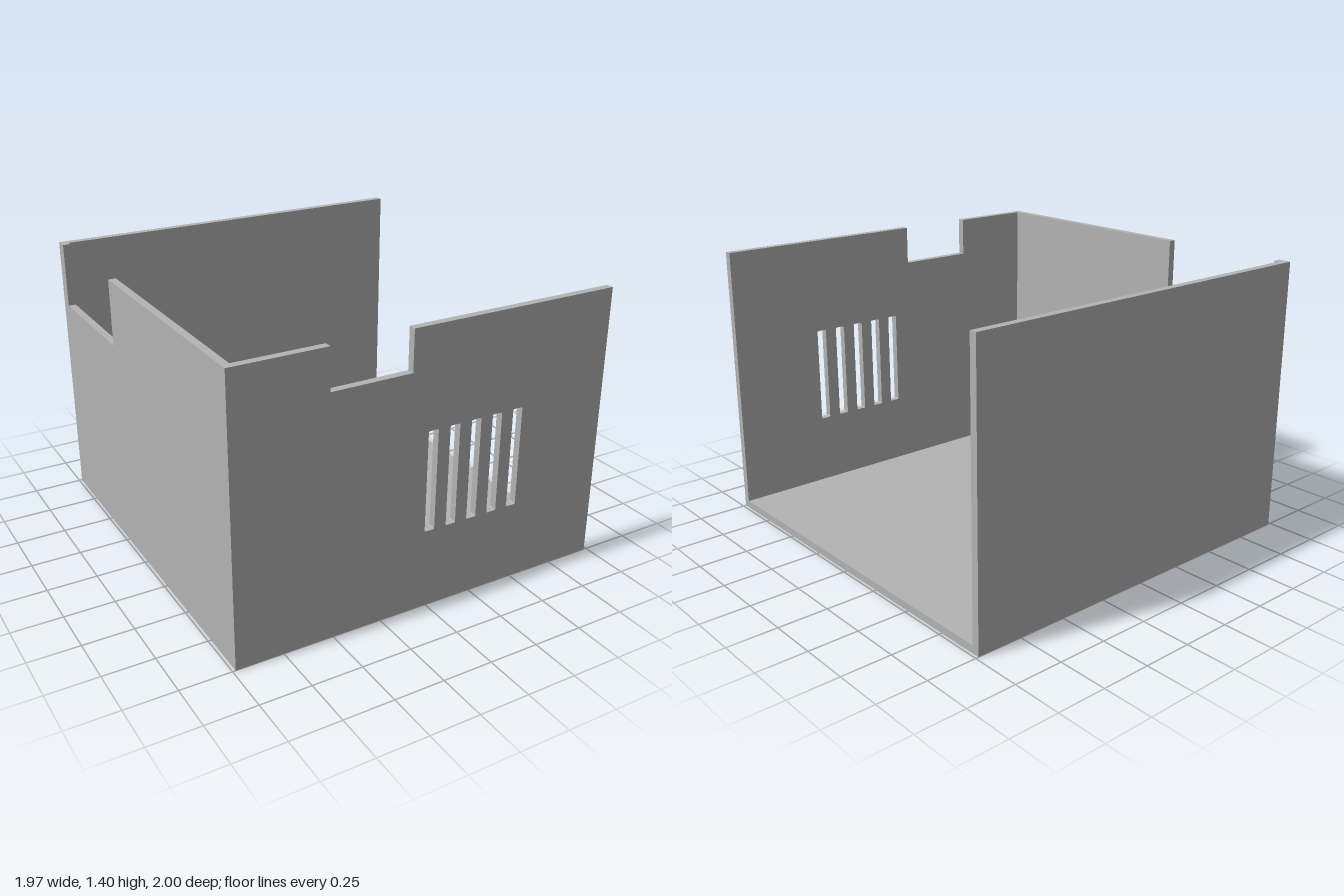
import * as THREE from 'three';

const W = 0.985;   // half width (x)
const D = 1;       // half depth (z)
const H = 1.4;     // height
const T = 0.038;   // wall thickness

// Closed outline from [x, y] points
const outline = (points) => new THREE.Shape(points.map(([x, y]) => new THREE.Vector2(x, y)));

// Wall outline from a to b, with a notch cut into its top edge
const notchedWall = (a, b, n0, n1, sill) =>
  outline([[a, 0], [b, 0], [b, H], [n1, H], [n1, sill], [n0, sill], [n0, H], [a, H]]);

// Upright slot with slightly eased corners
function slot(x, y, w, h, r) {
  const p = new THREE.Path();
  p.moveTo(x + r, y);
  p.lineTo(x + w - r, y);
  p.quadraticCurveTo(x + w, y, x + w, y + r);
  p.lineTo(x + w, y + h - r);
  p.quadraticCurveTo(x + w, y + h, x + w - r, y + h);
  p.lineTo(x + r, y + h);
  p.quadraticCurveTo(x, y + h, x, y + h - r);
  p.lineTo(x, y + r);
  p.quadraticCurveTo(x, y, x + r, y);
  return p;
}

export function createModel() {
  const group = new THREE.Group();
  const grey = new THREE.MeshStandardMaterial({ color: 0xb3b3b3 });
  grey.name = 'grey';

  const add = (name, geometry, x = 0, y = 0, z = 0) => {
    const mesh = new THREE.Mesh(geometry, grey);
    mesh.name = name;
    mesh.position.set(x, y, z);
    group.add(mesh);
    return mesh;
  };
  const plate = (shape) =>
    new THREE.ExtrudeGeometry(shape, { depth: T, bevelEnabled: false, curveSegments: 4 });

  // Front wall with top notch and five vent slots
  const front = notchedWall(-W, W, -0.52, -0.115, 1.2);
  for (let i = 0; i < 5; i++) front.holes.push(slot(-0.02 + i * 0.117, 0.4, 0.053, 0.505, 0.007));
  add('frontWall', plate(front), 0, 0, D - T);

  // Plain back wall
  add('backWall', new THREE.BoxGeometry(2 * W, H, T), 0, H / 2, -D + T / 2);

  // Side wall with a deep notch near the back; outline x maps to -z
  const side = notchedWall(-D + T, D - T, 0.265, 0.935, 1.07);
  add('sideWall', plate(side), -W, 0, 0).rotation.y = Math.PI / 2;

  // Floor, open on the remaining side
  add('floor', new THREE.BoxGeometry(2 * W - T, T, 2 * (D - T)), T / 2, T / 2, 0);

  return group;
}
